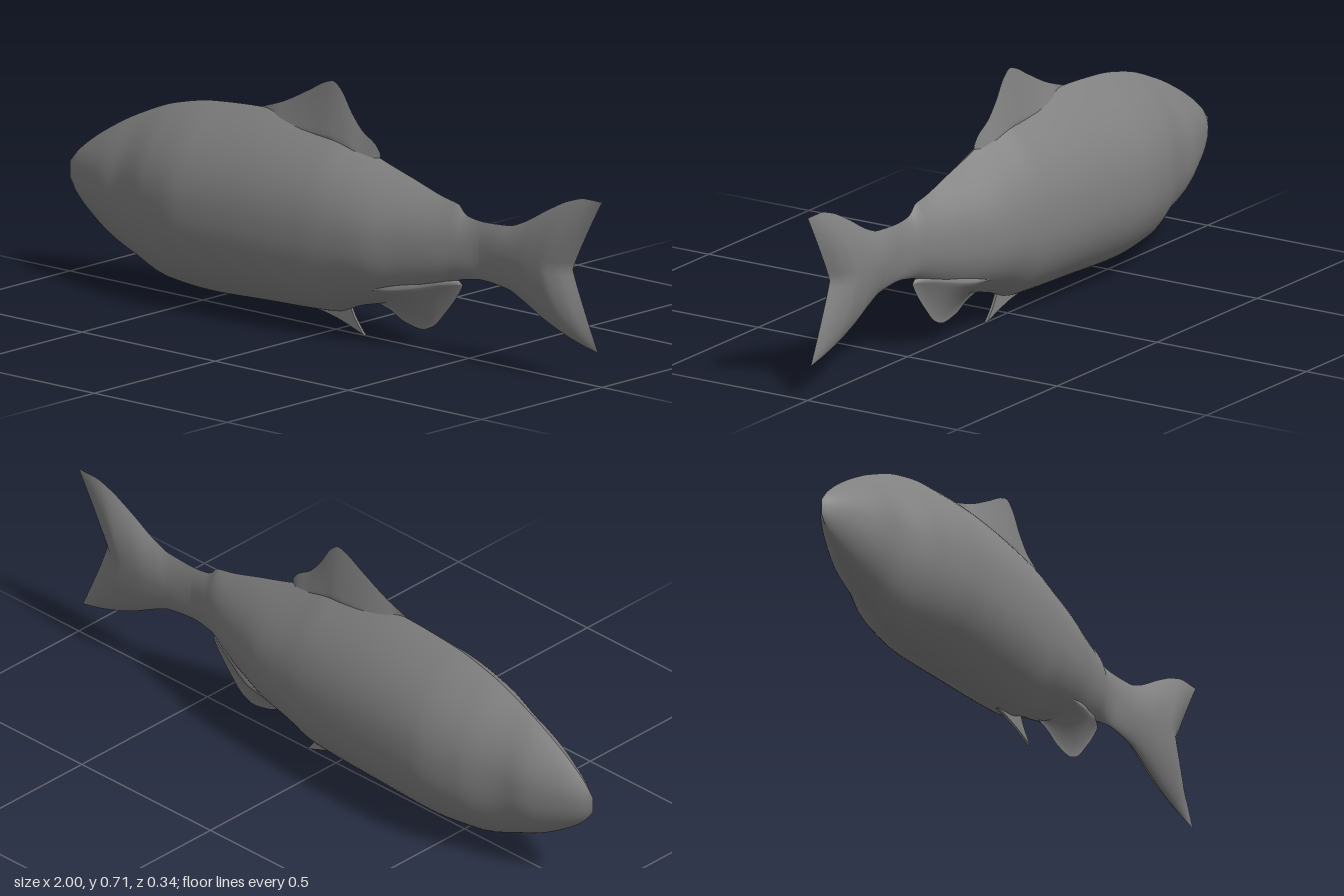
import * as THREE from 'three';

const grey = new THREE.MeshStandardMaterial({ color: 0x808080 });
grey.name = 'fish grey';

// Monotone smooth interpolation of column c of a station table at x
function sample(rows, c, x) {
  const n = rows.length;
  const slope = i => (rows[i + 1][c] - rows[i][c]) / (rows[i + 1][0] - rows[i][0]);
  const tangent = i => {
    if (i === 0) return slope(0);
    if (i === n - 1) return slope(n - 2);
    const a = slope(i - 1), b = slope(i);
    return a * b <= 0 ? 0 : (2 * a * b) / (a + b);
  };
  let i = 0;
  while (i < n - 2 && x > rows[i + 1][0]) i++;
  const h = rows[i + 1][0] - rows[i][0], t = (x - rows[i][0]) / h;
  const t2 = t * t, t3 = t2 * t;
  return (2 * t3 - 3 * t2 + 1) * rows[i][c] + (t3 - 2 * t2 + t) * h * tangent(i)
    + (3 * t2 - 2 * t3) * rows[i + 1][c] + (t3 - t2) * h * tangent(i + 1);
}

// Mirrored loft along x; stations are [x, top, widest height, bottom, half width]
function loft(rows, x0, x1, nx, upper, lower, shear = x => x) {
  const ny = 36, pos = [], idx = [];
  for (const side of [1, -1]) {
    const base = pos.length / 3;
    for (let i = 0; i <= nx; i++) {
      const x = x0 + (x1 - x0) * i / nx;
      const [top, mid, bottom, w] = [1, 2, 3, 4].map(c => sample(rows, c, x));
      for (let j = 0; j <= ny; j++) {
        const v = Math.sin((j / ny - 0.5) * Math.PI), t = Math.abs(v);
        const y = v > 0 ? mid + (top - mid) * t : mid - (mid - bottom) * t;
        const z = w * Math.max(0, v > 0 ? upper(t) : lower(t));
        pos.push(shear(x, v), y, side * z);
      }
    }
    for (let i = 0; i < nx; i++) {
      for (let j = 0; j < ny; j++) {
        const a = base + i * (ny + 1) + j, b = a + ny + 1;
        if (side > 0) idx.push(a, b, b + 1, a, b + 1, a + 1);
        else idx.push(a, b + 1, b, a, a + 1, b + 1);
      }
    }
  }
  const g = new THREE.BufferGeometry();
  g.setAttribute('position', new THREE.Float32BufferAttribute(pos, 3));
  g.setIndex(idx);
  g.computeVertexNormals();
  return g;
}

// Body and tail share one set of stations
const fish = [
  [-1, 0.315, 0.295, 0.27, 0],
  [-0.97, 0.35, 0.29, 0.23, 0.022],
  [-0.9, 0.405, 0.285, 0.175, 0.055],
  [-0.8, 0.465, 0.28, 0.117, 0.09],
  [-0.74, 0.495, 0.28, 0.092, 0.1],
  [-0.6, 0.55, 0.28, 0.045, 0.145],
  [-0.45, 0.58, 0.28, 0.035, 0.168],
  [-0.25, 0.592, 0.28, 0.042, 0.163],
  [0, 0.57, 0.28, 0.052, 0.147],
  [0.1, 0.54, 0.28, 0.085, 0.135],
  [0.2, 0.507, 0.28, 0.11, 0.12],
  [0.3, 0.478, 0.29, 0.14, 0.09],
  [0.4, 0.448, 0.3, 0.185, 0.06],
  [0.47, 0.432, 0.31, 0.22, 0.035],
  [0.485, 0.41, 0.31, 0.223, 0.03],
  [0.55, 0.4, 0.315, 0.232, 0.016],
  [0.65, 0.405, 0.315, 0.222, 0.022],
  [0.7, 0.422, 0.315, 0.203, 0.028],
  [0.8, 0.477, 0.318, 0.155, 0.038],
  [0.88, 0.515, 0.32, 0.125, 0.04],
  [0.94, 0.53, 0.32, 0.108, 0.028],
  [1, 0.53, 0.32, 0.095, 0],
];
const dorsal = [
  [-0.28, 0.592, 0.53, 0.5, 0],
  [-0.2, 0.62, 0.56, 0.5, 0.022],
  [-0.1, 0.67, 0.56, 0.5, 0.026],
  [-0.04, 0.702, 0.56, 0.5, 0.026],
  [-0.01, 0.71, 0.56, 0.5, 0.025],
  [0.02, 0.69, 0.55, 0.48, 0.023],
  [0.06, 0.63, 0.54, 0.47, 0.021],
  [0.1, 0.585, 0.52, 0.47, 0.018],
  [0.15, 0.553, 0.5, 0.46, 0.012],
  [0.168, 0.53, 0.49, 0.46, 0],
];
const anal = [
  [0.08, 0.2, 0.14, 0.095, 0],
  [0.15, 0.22, 0.15, 0.1, 0.06],
  [0.2, 0.23, 0.16, 0.09, 0.08],
  [0.26, 0.23, 0.165, 0.063, 0.075],
  [0.32, 0.24, 0.175, 0.053, 0.06],
  [0.36, 0.24, 0.185, 0.066, 0.045],
  [0.42, 0.235, 0.2, 0.125, 0.025],
  [0.46, 0.218, 0.205, 0.175, 0.008],
  [0.475, 0.206, 0.203, 0.2, 0],
];

export function createModel() {
  const model = new THREE.Group();
  const add = (name, geometry) => {
    const mesh = new THREE.Mesh(geometry, grey);
    mesh.name = name;
    model.add(mesh);
    return mesh;
  };
  const back = t => 1 - t ** 2.3;
  const belly = t => Math.max(0, 1 - t ** 2.2) ** 0.65;

  add('body', loft(fish, -1, 0.55, 110, back, belly));

  // Forked trailing edge: the middle of the tail is pulled forward
  const fork = (x, v) => {
    const end = 0.89 + (v > 0 ? 0.11 : 0.095) * Math.abs(v) ** 1.1;
    return 0.55 + (x - 0.55) * (end - 0.55) / 0.45;
  };
  add('tailFin', loft(fish, 0.55, 1, 40, back, belly, fork));

  add('dorsalFin', loft(dorsal, -0.28, 0.168, 50, t => 1 - t, t => 1 - t * t));
  add('analFin', loft(anal, 0.08, 0.475, 50, t => 1 - t * t, t => (1 - t) ** 1.6));

  // Small swept fin under the belly
  const outline = new THREE.Shape();
  outline.moveTo(-0.08, 0.08);
  outline.lineTo(-0.06, 0.047);
  outline.quadraticCurveTo(0.01, 0.04, 0.11, 0);
  outline.quadraticCurveTo(0.065, 0.05, 0.06, 0.075);
  outline.lineTo(0.09, 0.1);
  const pelvic = new THREE.ExtrudeGeometry(outline, { depth: 0.008, bevelEnabled: false, curveSegments: 10 });
  pelvic.translate(0, 0, -0.004);
  add('pelvicFin', pelvic);

  return model;
}
